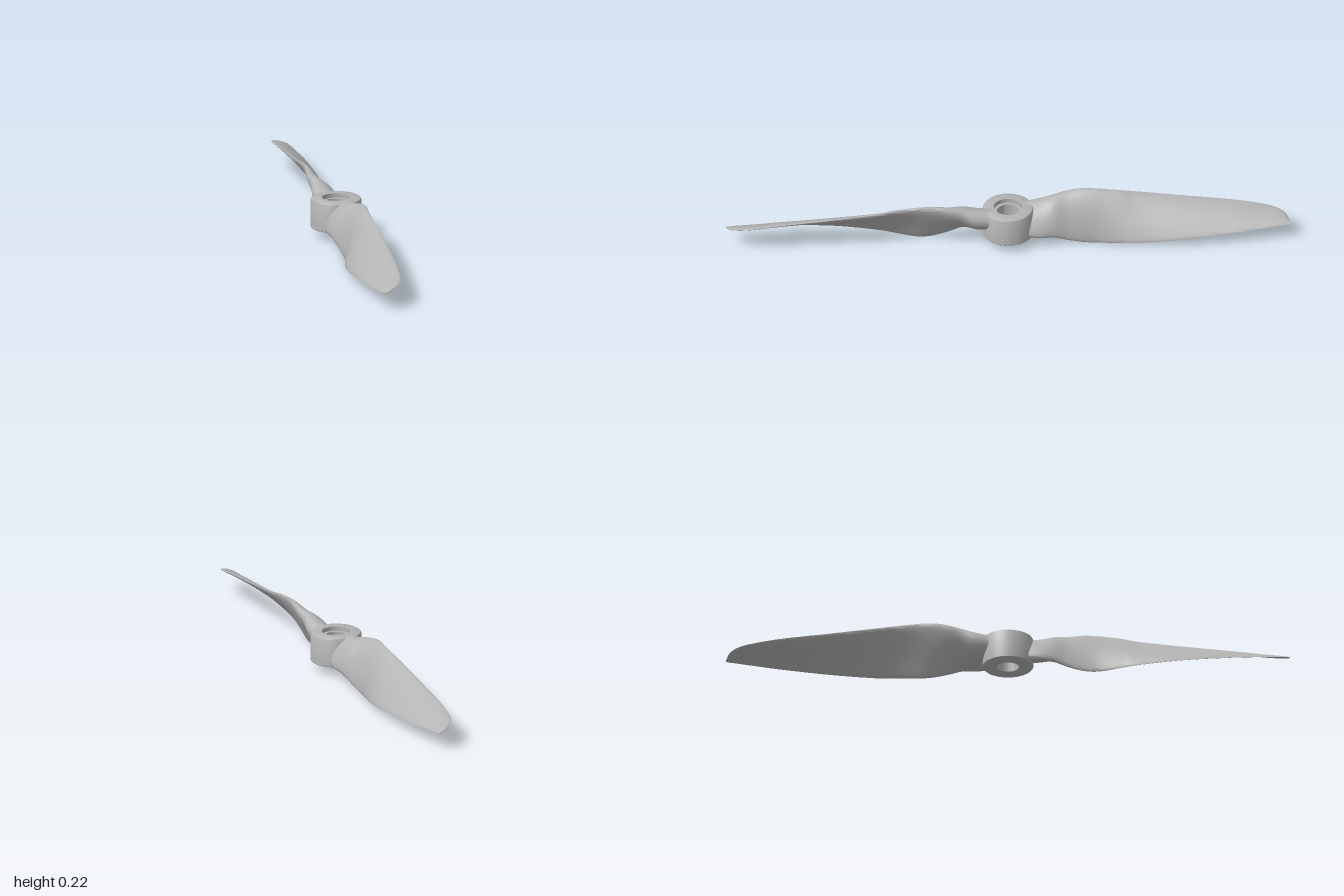
import * as THREE from 'three';
import { toCreasedNormals } from 'three/addons/utils/BufferGeometryUtils.js';

// Blade stations: span, leading edge (across, height), trailing edge (across, height), thickness
const STATIONS = [
  [0.07, -0.06, 0.16, 0.06, 0.055, 0.09],
  [0.14, -0.07, 0.172, 0.065, 0.05, 0.09],
  [0.20, -0.064, 0.195, 0.055, 0.045, 0.075],
  [0.26, -0.072, 0.21, 0.042, 0.024, 0.058],
  [0.33, -0.072, 0.221, 0.034, 0.006, 0.045],
  [0.40, -0.07, 0.219, 0.034, 0.001, 0.036],
  [0.50, -0.073, 0.207, 0.052, 0.01, 0.03],
  [0.58, -0.08, 0.194, 0.066, 0.018, 0.027],
  [0.77, -0.082, 0.17, 0.073, 0.037, 0.022],
  [1.00, -0.083, 0.143, 0.056, 0.057, 0.016],
  [1.13, -0.078, 0.122, 0.037, 0.068, 0.012],
  [1.19, -0.065, 0.11, 0.027, 0.073, 0.009],
  [1.225, -0.042, 0.098, 0.02, 0.075, 0.007],
  [1.24, -0.015, 0.086, 0.016, 0.076, 0.005],
  [1.247, 0.01, 0.078, 0.0145, 0.076, 0.004],
];

// Twisted, tapering airfoil lofted along the span
function bladeGeometry() {
  const curve = (f) => new THREE.CatmullRomCurve3(
    STATIONS.map((s) => new THREE.Vector3(...f(s))), false, 'catmullrom');
  const leading = curve((s) => [s[1], s[2], s[0]]);
  const trailing = curve((s) => [s[3], s[4], s[0]]);
  const thickness = curve((s) => [s[5], 0, 0]);
  const span = new THREE.Vector3(0.61, 0, -0.79).normalize();
  const across = new THREE.Vector3(-span.z, 0, span.x);

  const rows = 84, sides = 36, pos = [], index = [];
  for (let i = 0; i <= rows; i++) {
    const a = leading.getPoint(i / rows), b = trailing.getPoint(i / rows);
    const th = thickness.getPoint(i / rows).x;
    const ct = b.x - a.x, cy = b.y - a.y, len = Math.hypot(ct, cy);
    const camber = 0.04 * len * Math.min(1, i / 28);
    for (let j = 0; j < sides; j++) {
      const q = (j / sides) * Math.PI * 2, u = (1 - Math.cos(q)) / 2;
      const v = (th / 2) * Math.sin(q) * (1 + 0.3 * Math.cos(q)) + camber * Math.sin(q) ** 2;
      const t = a.x + ct * u - (cy / len) * v;
      const y = a.y + cy * u + (ct / len) * v;
      pos.push(span.x * a.z + across.x * t, y, span.z * a.z + across.z * t);
    }
  }
  for (let i = 0; i < rows; i++) {
    for (let j = 0; j < sides; j++) {
      const k = (j + 1) % sides, p = i * sides, n = p + sides;
      index.push(p + j, p + k, n + k, p + j, n + k, n + j);
    }
  }
  // End caps
  const last = rows * sides;
  for (let j = 1; j < sides - 1; j++) {
    index.push(0, j + 1, j, last, last + j, last + j + 1);
  }
  const g = new THREE.BufferGeometry();
  g.setAttribute('position', new THREE.Float32BufferAttribute(pos, 3));
  g.setIndex(index);
  return toCreasedNormals(g, 0.9);
}

// Bored hub with a shallow counterbore on top
function hubGeometry() {
  const profile = [
    [0.048, 0.04], [0.109, 0.04], [0.112, 0.043], [0.112, 0.166], [0.109, 0.172],
    [0.103, 0.175], [0.063, 0.175], [0.063, 0.155], [0.048, 0.155], [0.048, 0.04],
  ].map(([x, y]) => new THREE.Vector2(x, y));
  return toCreasedNormals(new THREE.LatheGeometry(profile, 64), 0.6);
}

export function createModel() {
  const grey = new THREE.MeshStandardMaterial({ color: 0xb4b4b4 });
  grey.name = 'grey plastic';

  const propeller = new THREE.Group();
  propeller.name = 'propeller';

  const hub = new THREE.Mesh(hubGeometry(), grey);
  hub.name = 'hub';
  propeller.add(hub);

  // Two blades, half a turn apart
  const geometry = bladeGeometry();
  ['rearBlade', 'frontBlade'].forEach((name, i) => {
    const blade = new THREE.Mesh(geometry, grey);
    blade.name = name;
    blade.rotation.y = i * Math.PI;
    propeller.add(blade);
  });
  return propeller;
}
